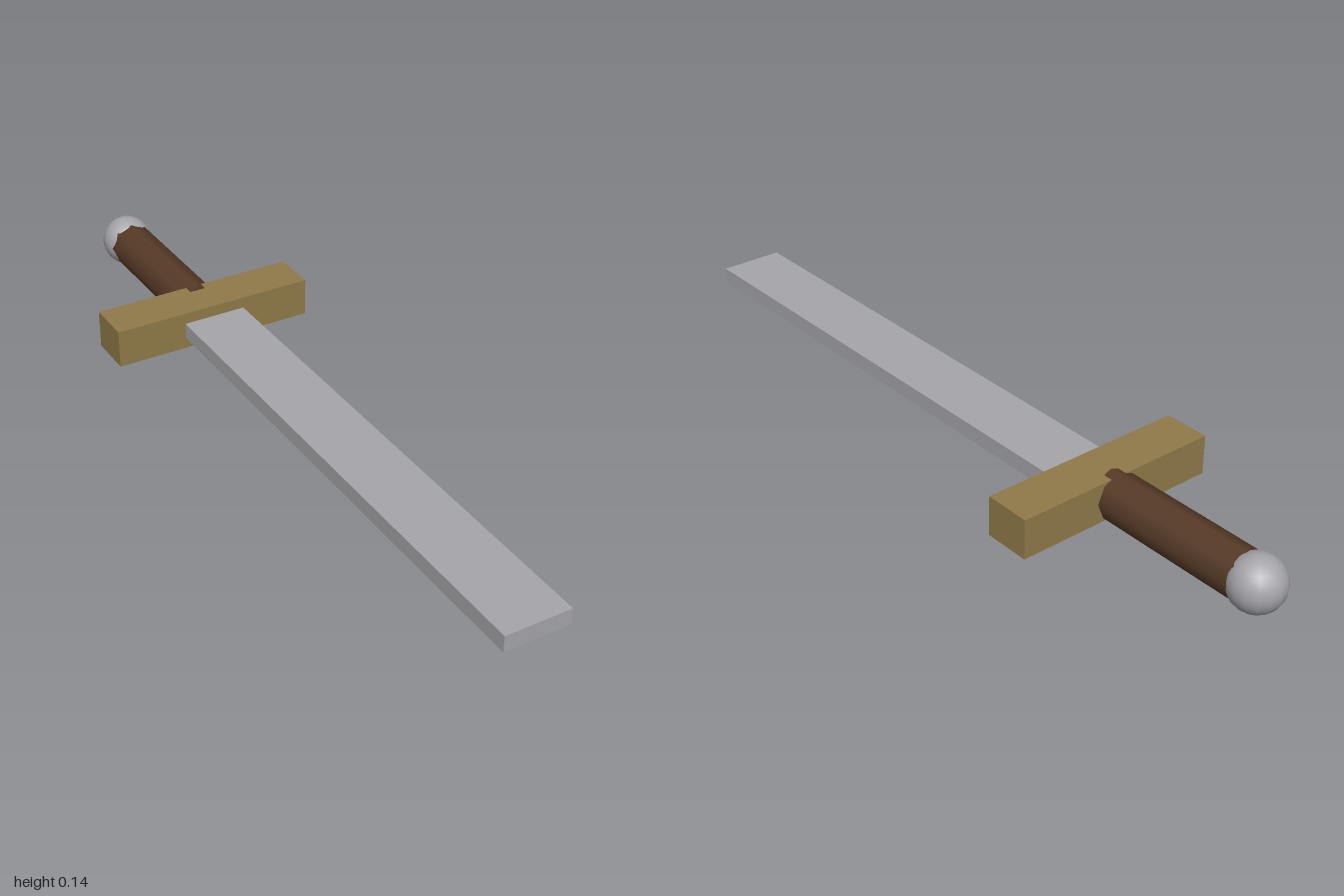
import * as THREE from 'three';

const CENTER_Y = 0.069;

export function createModel() {
  const model = new THREE.Group();
  model.name = 'sword';

  const steel = new THREE.MeshStandardMaterial({ color: 0xa5a5aa });
  steel.name = 'steel';
  const brass = new THREE.MeshStandardMaterial({ color: 0x8f7a48 });
  brass.name = 'brass';
  const leather = new THREE.MeshStandardMaterial({ color: 0x573b27 });
  leather.name = 'leather';

  const add = (name, geometry, material, z) => {
    const mesh = new THREE.Mesh(geometry, material);
    mesh.name = name;
    mesh.position.set(0, CENTER_Y, z);
    model.add(mesh);
  };

  // Flat blade pointing forward, slightly sunk into the guard
  add('blade', new THREE.BoxGeometry(0.17, 0.042, 1.41), steel, 0.295);

  // Crossguard
  add('guard', new THREE.BoxGeometry(0.548, 0.102, 0.12), brass, -0.455);

  // Eight-sided smooth grip, with an edge along its top
  const grip = new THREE.CylinderGeometry(0.06, 0.06, 0.43, 8).rotateX(Math.PI / 2);
  add('grip', grip, leather, -0.705);

  // Round pommel
  add('pommel', new THREE.SphereGeometry(0.068, 16, 16), steel, -0.932);

  return model;
}
